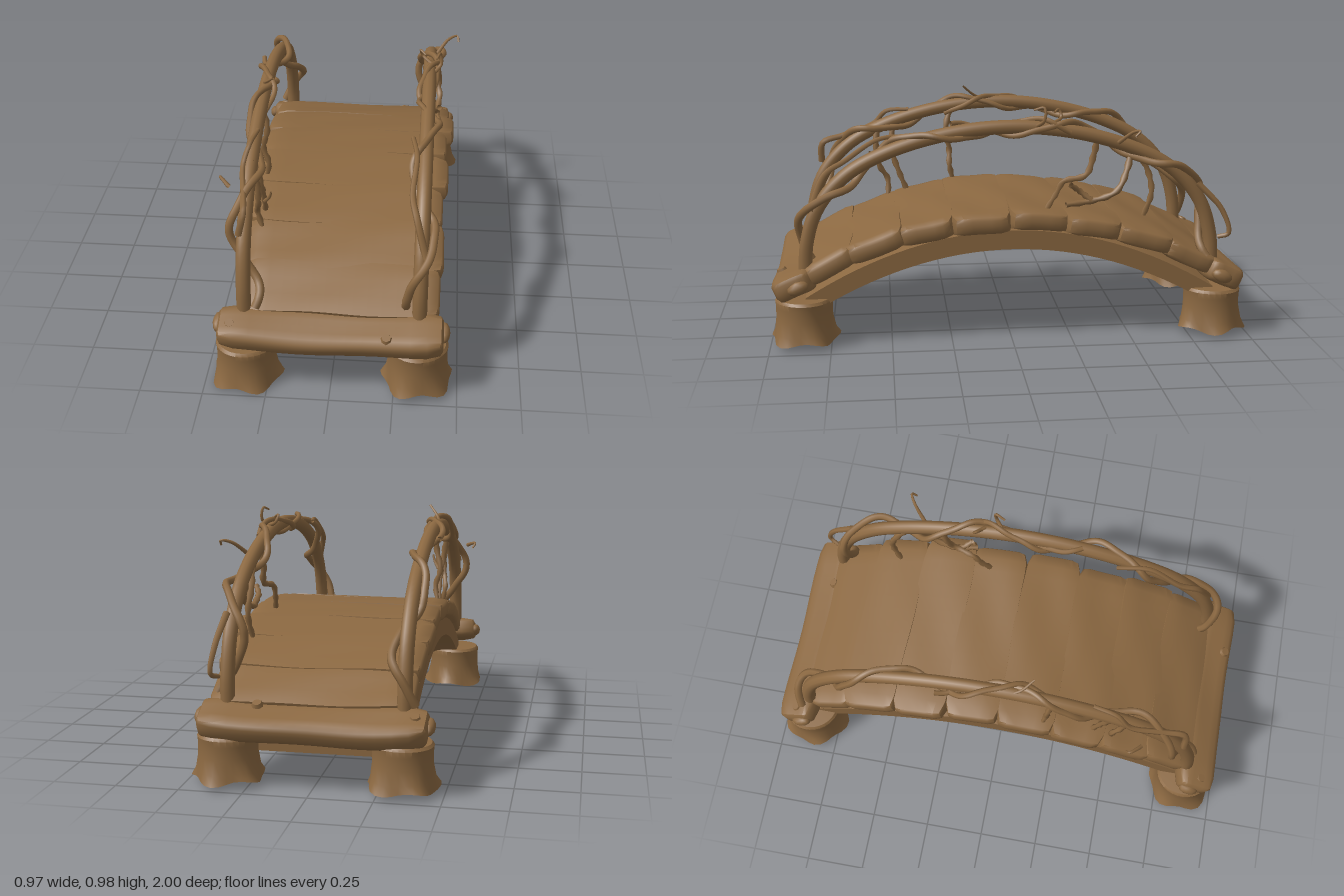
import * as THREE from 'three';
import { mergeVertices, toCreasedNormals } from 'three/addons/utils/BufferGeometryUtils.js';

const V = (x, y, z) => new THREE.Vector3(x, y, z);
const wood = new THREE.MeshStandardMaterial({ color: 0x8b6841, side: THREE.DoubleSide });
wood.name = 'bark brown';

function add(group, name, geometry) {
  const mesh = new THREE.Mesh(geometry, wood);
  mesh.name = name;
  group.add(mesh);
  return mesh;
}

// Round branch through points, narrowing to a fraction of its radius, with optional knuckles
function branch(points, radius, tip, sides, steps, knuckle = 0) {
  const curve = new THREE.CatmullRomCurve3(points);
  const geo = new THREE.TubeGeometry(curve, steps, radius, sides);
  const p = geo.attributes.position;
  for (let i = 0; i <= steps; i++) {
    const c = curve.getPointAt(i / steps);
    const s = (1 + (tip - 1) * i / steps) * (1 + knuckle * Math.sin(i * 1.5));
    for (let j = 0; j <= sides; j++) {
      const k = i * (sides + 1) + j;
      const v = V().fromBufferAttribute(p, k).sub(c).multiplyScalar(s).add(c);
      p.setXYZ(k, v.x, v.y, v.z);
    }
  }
  return geo;
}

// Worn plank: softened ends, tight long edges that wave, and a slight sag in the middle
function plankGeometry(w, h, d, seed, sag, soft) {
  let geo = new THREE.BoxGeometry(w, h, d, 14, 4, 6);
  const p = geo.attributes.position;
  for (let i = 0; i < p.count; i++) {
    const v = V().fromBufferAttribute(p, i);
    const u = v.x / w * 2;
    const r = h * (soft + (0.36 - soft) * u ** 8);
    const core = V(
      THREE.MathUtils.clamp(v.x, -w / 2 + r, w / 2 - r),
      THREE.MathUtils.clamp(v.y, -h / 2 + r, h / 2 - r),
      THREE.MathUtils.clamp(v.z, -d / 2 + r, d / 2 - r));
    const out = v.clone().sub(core);
    if (out.length() > r) v.copy(core).addScaledVector(out.normalize(), r);
    v.y += sag * (u * u - 0.5) * (v.y > 0 ? 1 : 0.3);
    v.z *= 1 + 0.03 * Math.sin(v.x * 13 + seed * 2.3) - 0.1 * u ** 8;
    v.y += 0.003 * Math.sin(v.x * 9 + v.z * 20 + seed);
    p.setXYZ(i, v.x, v.y, v.z);
  }
  geo.deleteAttribute('normal');
  geo.deleteAttribute('uv');
  geo = mergeVertices(geo, 1e-4);
  return toCreasedNormals(geo, 0.9);
}

// Hollow stump with roots flaring at a ragged foot
function stumpGeometry(seed) {
  const profile = [[0.138, 0.012], [0.126, 0.045], [0.117, 0.1], [0.116, 0.15], [0.119, 0.175], [0.11, 0.186], [0.001, 0.19]];
  const geo = new THREE.LatheGeometry(profile.map(q => new THREE.Vector2(...q)), 30);
  const p = geo.attributes.position;
  for (let i = 0; i < p.count; i++) {
    const x = p.getX(i), y = p.getY(i), z = p.getZ(i), a = Math.atan2(z, x);
    const foot = Math.max(0, 1 - y / 0.06);
    const s = 1 + 0.015 * Math.sin(3 * a + seed) + foot * 0.1 * Math.sin(5 * a + seed * 2);
    p.setXYZ(i, x * s, y + foot * 0.012 * Math.sin(4 * a + seed), z * s);
  }
  geo.computeVertexNormals();
  return toCreasedNormals(geo, 0.8);
}

function railCurve(x) {
  const side = [[0.85, 0.26], [0.84, 0.42], [0.79, 0.57], [0.67, 0.705], [0.5, 0.795], [0.25, 0.865]];
  const pts = side.map(([z, y]) => V(x, y, z));
  pts.push(V(x, 0.888, 0));
  [...side].reverse().forEach(([z, y]) => pts.push(V(x, y, -z)));
  return new THREE.CatmullRomCurve3(pts);
}

// Vine wound around a rail: loose near the posts, tight at the crown
function vinePoints(rail, from, to, turns, phase) {
  const pts = [];
  for (let i = 0; i <= 44; i++) {
    const t = from + (to - from) * i / 44;
    const a = phase + turns * Math.PI * 2 * i / 44;
    const r = 0.036 + 0.024 * Math.abs(2 * t - 1) + 0.008 * Math.sin(i * 0.9 + phase);
    const n = rail.getTangentAt(t).cross(V(1, 0, 0));
    pts.push(rail.getPointAt(t).add(V(r * Math.cos(a), 0, 0)).addScaledVector(n, 0.85 * r * Math.sin(a)));
  }
  return pts;
}

export function createModel() {
  const model = new THREE.Group();
  model.name = 'rusticFootbridge';

  // Arched slab beneath the deck
  const slab = new THREE.BoxGeometry(0.75, 0.08, 1.7, 1, 1, 32);
  const sp = slab.attributes.position;
  for (let i = 0; i < sp.count; i++) {
    const z = sp.getZ(i);
    sp.setXYZ(i, sp.getX(i) + 0.015, sp.getY(i) + 0.425 - 0.366 * z * z, z);
  }
  slab.computeVertexNormals();
  add(model, 'archSlab', slab);

  // Four stump feet
  let seed = 1;
  for (const z of [0.858, -0.858]) for (const x of [-0.34, 0.34]) {
    const stump = add(model, 'stump', stumpGeometry(seed++));
    stump.position.set(x, x < 0 && z > 0 ? -0.008 : 0.008, z);
  }

  // Closely laid deck planks: z, y, depth, tilt, left end, right end
  const deck = [
    [0.745, 0.332, 0.235, 0.46, -0.37, 0.42], [0.56, 0.407, 0.255, 0.34, -0.38, 0.43],
    [0.35, 0.465, 0.245, 0.21, -0.385, 0.42], [0.125, 0.498, 0.255, 0.08, -0.38, 0.44],
    [-0.11, 0.5, 0.25, -0.06, -0.375, 0.43], [-0.335, 0.472, 0.245, -0.18, -0.385, 0.46],
    [-0.555, 0.418, 0.255, -0.31, -0.38, 0.44], [-0.745, 0.335, 0.235, -0.47, -0.375, 0.42]];
  deck.forEach(([z, y, d, tilt, x0, x1], i) => {
    const plank = add(model, 'deckPlank', plankGeometry(x1 - x0, 0.085, d, i, 0.004, 0.12));
    plank.position.set((x0 + x1) / 2, y, z);
    plank.rotation.set(tilt, 0.012 * Math.sin(i * 2), 0.01 * Math.sin(i * 1.7));
  });

  // Thick threshold planks with knots and lumpy ends
  for (const s of [1, -1]) {
    const end = new THREE.Group();
    end.name = 'threshold';
    add(end, 'thresholdPlank', plankGeometry(0.88, 0.095, 0.175, 3 + s, 0.02, 0.3));
    for (const [x, z] of [[-0.39, 0.01], [0.22, 0.045]]) {
      const knot = add(end, 'knot', new THREE.CylinderGeometry(0.018, 0.026, 0.02, 7));
      knot.position.set(x, 0.045, z);
    }
    for (const x of [-0.44, 0.44]) {
      const lump = add(end, 'endKnot', new THREE.IcosahedronGeometry(0.035, 1));
      lump.position.set(x, 0, -0.02 * s);
      lump.scale.set(0.7, 0.8, 1.3);
    }
    end.position.set(0, 0.25, s * 0.895);
    end.rotation.x = s * 0.4;
    model.add(end);
  }

  // Bent-branch rails with vines wound around them
  for (const s of [-1, 1]) {
    const rail = railCurve(s * 0.343);
    add(model, 'rail', new THREE.TubeGeometry(rail, 80, 0.029, 10));
    const flip = s < 0 ? Math.PI : 0;
    add(model, 'vine', branch(vinePoints(rail, 0.03, 0.6, 2.6, flip + 2.6), 0.018, 0.6, 7, 130));
    add(model, 'vine', branch(vinePoints(rail, 0.97, 0.4, 2.6, flip + 0.6), 0.018, 0.6, 7, 130));
  }

  // Crooked twigs between rail and deck
  const twigs = [
    [V(-0.34, 0.86, 0.21), V(-0.32, 0.77, 0.23), V(-0.34, 0.67, 0.215), V(-0.32, 0.6, 0.215), V(-0.33, 0.53, 0.2)],
    [V(-0.34, 0.8, 0.54), V(-0.32, 0.7, 0.55), V(-0.32, 0.6, 0.535), V(-0.33, 0.54, 0.5), V(-0.31, 0.45, 0.5)],
    [V(-0.34, 0.8, 0.47), V(-0.32, 0.68, 0.48), V(-0.31, 0.58, 0.45), V(-0.31, 0.48, 0.41)],
    [V(0.34, 0.85, -0.36), V(0.33, 0.75, -0.34), V(0.34, 0.68, -0.31), V(0.32, 0.65, -0.22), V(0.32, 0.6, -0.19), V(0.33, 0.54, -0.15)],
    [V(0.33, 0.79, -0.5), V(0.36, 0.71, -0.48), V(0.39, 0.62, -0.43), V(0.38, 0.58, -0.33), V(0.4, 0.57, -0.22)],
    [V(0.38, 0.58, -0.33), V(0.37, 0.62, -0.28), V(0.39, 0.65, -0.24)],
    [V(0.33, 0.78, -0.52), V(0.32, 0.7, -0.57), V(0.33, 0.6, -0.59), V(0.32, 0.5, -0.56)]];
  twigs.forEach(pts => add(model, 'twig', branch(pts, 0.014, 0.8, 6, pts.length * 6, 0.18)));

  // Loose shoots and curling tendrils
  const tendrils = [
    [V(-0.36, 0.88, 0.02), V(-0.34, 0.92, 0.1), V(-0.3, 0.965, 0.15)],
    [V(-0.42, 0.725, 0.62), V(-0.44, 0.735, 0.6), V(-0.46, 0.74, 0.575), V(-0.45, 0.72, 0.56)],
    [V(-0.29, 0.62, 0.55), V(-0.27, 0.65, 0.57), V(-0.26, 0.68, 0.58)],
    [V(0.36, 0.89, -0.1), V(0.39, 0.92, -0.13), V(0.385, 0.97, -0.13), V(0.37, 0.96, -0.09)],
    [V(0.35, 0.9, -0.17), V(0.31, 0.92, -0.21), V(0.3, 0.95, -0.2), V(0.32, 0.94, -0.18)],
    [V(0.37, 0.82, -0.44), V(0.42, 0.87, -0.49), V(0.46, 0.88, -0.51), V(0.465, 0.86, -0.49)]];
  tendrils.forEach(pts => add(model, 'tendril', branch(pts, 0.009, 0.5, 6, 20)));

  // Stouter shoots running beside the rails
  const shoots = [
    [V(0.36, 0.64, -0.78), V(0.38, 0.53, -0.88), V(0.39, 0.43, -0.91), V(0.37, 0.41, -0.87)],
    [V(-0.36, 0.62, 0.8), V(-0.34, 0.71, 0.79), V(-0.35, 0.74, 0.7), V(-0.37, 0.79, 0.56), V(-0.35, 0.85, 0.5), V(-0.33, 0.86, 0.4)],
    [V(0.36, 0.56, 0.82), V(0.32, 0.7, 0.76), V(0.3, 0.75, 0.68), V(0.31, 0.84, 0.54), V(0.29, 0.85, 0.4)]];
  shoots.forEach(pts => add(model, 'shoot', branch(pts, 0.015, 0.6, 6, 30)));

  return model;
}
